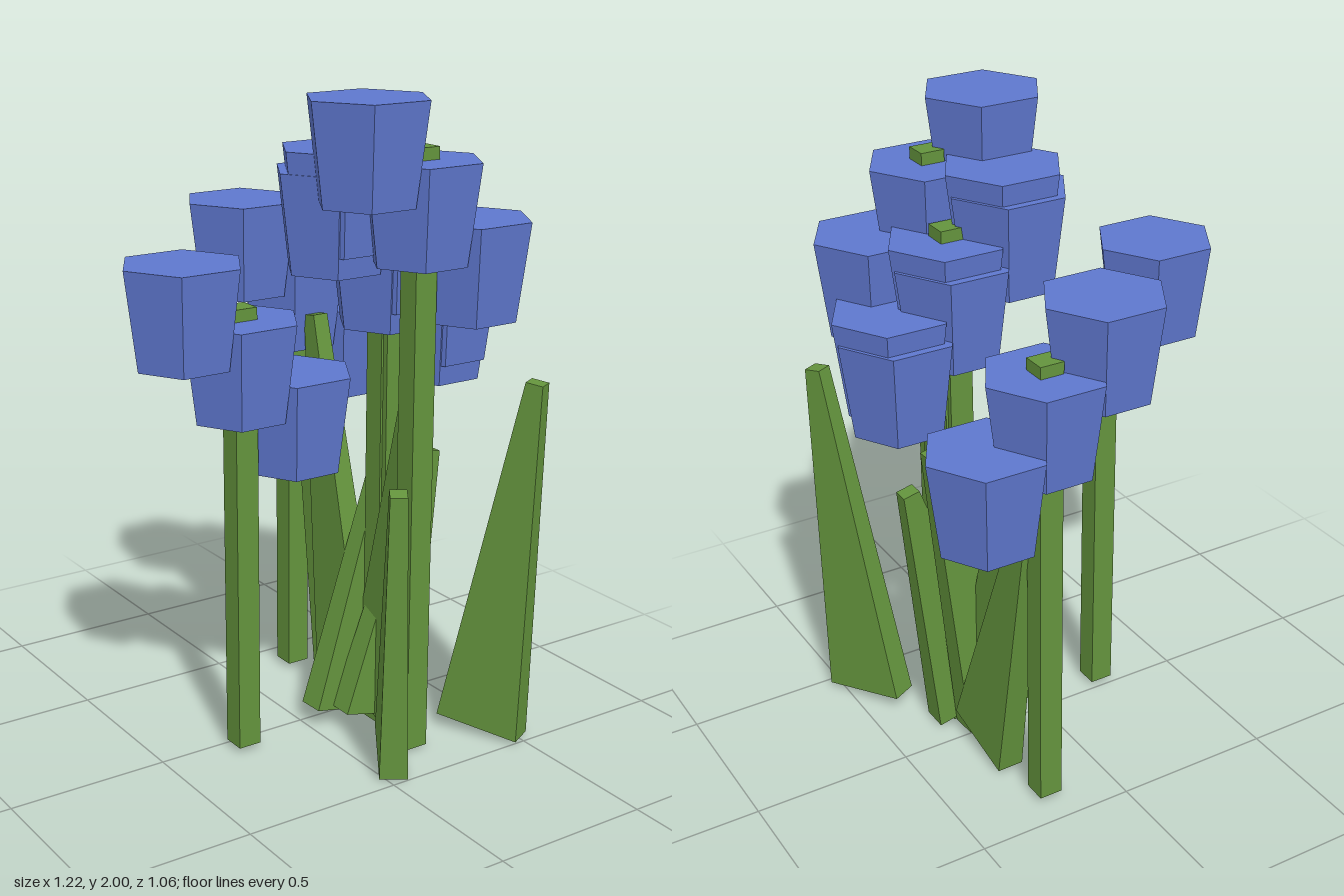
import * as THREE from 'three';

export function createModel() {
  const group = new THREE.Group();
  group.name = 'bellflowerClump';
  const petalBlue = new THREE.MeshStandardMaterial({ color: 0x5f78cf });
  petalBlue.name = 'petalBlue';
  const leafGreen = new THREE.MeshStandardMaterial({ color: 0x64943d });
  leafGreen.name = 'leafGreen';
  petalBlue.flatShading = leafGreen.flatShading = true;

  const add = (parent, name, geometry, material) => {
    const mesh = new THREE.Mesh(geometry, material);
    mesh.name = name;
    parent.add(mesh);
    return mesh;
  };

  // Flowers: a square stem with three hexagonal bells stepping down towards +x
  const bell = new THREE.CylinderGeometry(0.185, 0.147, 0.295, 6, 1, false, Math.PI / 6);
  const flowers = [ // x, z, stem top, stem bottom
    [0.19, 0.322, 1.853, 0.01],
    [0.237, 0.127, 1.69, 0.003],
    [0.23, 0.108, 1.627, 0.003],
    [-0.24, 0.047, 1.397, 0.02],
    [0.215, -0.373, 1.47, 0.02],
  ];
  for (const [x, z, top, bottom] of flowers) {
    const flower = new THREE.Group();
    flower.name = 'flower';
    flower.position.set(x, 0, z);
    group.add(flower);
    const stem = add(flower, 'stem', new THREE.BoxGeometry(0.074, top - bottom, 0.074), leafGreen);
    stem.position.y = (top + bottom) / 2;
    for (let i = 0; i < 3; i++) {
      const mesh = add(flower, 'bell', bell, petalBlue);
      mesh.position.set((i - 1) * 0.185, top - i * 0.184, 0);
    }
  }

  // Leaves: wide at the base, narrow at the tip, leaning outwards
  const leaves = [ // base centre, tip centre
    [[0.085, 0.03, 0.37], [0.01, 0.91, 0.485]],
    [[0.435, 0.03, 0.37], [0.5, 1.16, 0.495]],
    [[0.2, 0.04, 0], [0.2, 1.26, -0.215]],
    [[0.25, 0.045, -0.09], [0.245, 0.98, -0.335]],
    [[0.14, 0.04, 0.04], [0.355, 1.04, 0.03]],
    [[0.2, 0.04, 0.12], [0.395, 0.875, 0.12]],
    [[0.22, 0.045, 0.12], [0.2, 1.22, 0.32]],
  ];
  for (const [base, tip] of leaves) {
    const a = new THREE.Vector3(...base), b = new THREE.Vector3(...tip);
    const up = b.clone().sub(a);
    const length = up.length();
    up.normalize();
    const side = new THREE.Vector3(up.z, 0, -up.x).normalize(); // thin axis
    const wide = new THREE.Vector3().crossVectors(up, side);
    const geometry = new THREE.BoxGeometry(0.085, length, 0.27);
    const p = geometry.attributes.position;
    for (let i = 0; i < p.count; i++) {
      if (p.getY(i) > 0) {
        p.setX(i, p.getX(i) * 0.6);
        p.setZ(i, p.getZ(i) * 0.2);
      }
    }
    const along = new THREE.Vector3().crossVectors(side, up);
    if (along.dot(wide) < 0) wide.negate();
    geometry.applyMatrix4(new THREE.Matrix4().makeBasis(side, up, wide));
    geometry.computeVertexNormals();
    add(group, 'leaf', geometry, leafGreen).position.copy(a.add(b).multiplyScalar(0.5));
  }
  return group;
}
